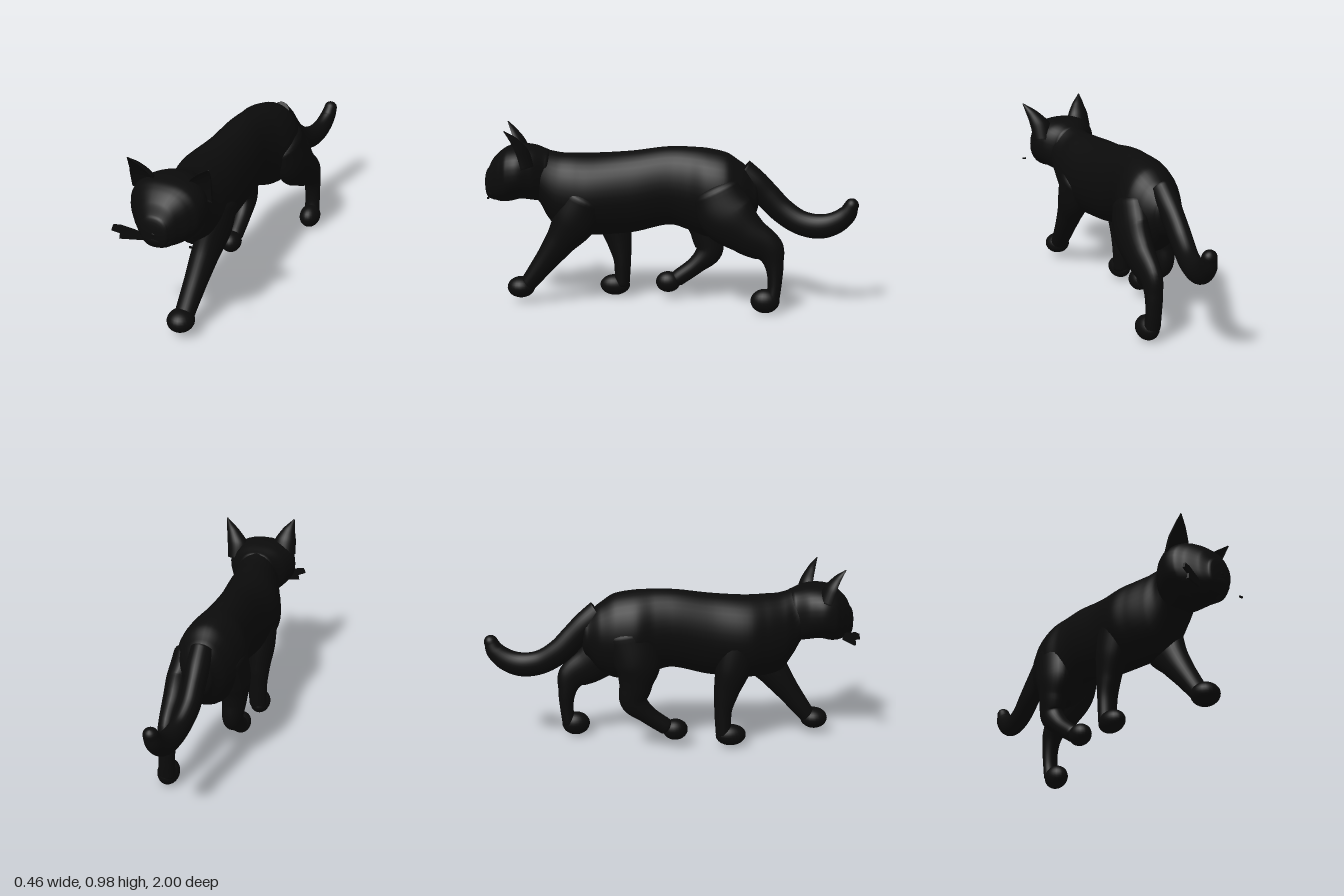
import * as THREE from 'three';

const fur = new THREE.MeshStandardMaterial({ color: 0x0b0b0b });
fur.name = 'black fur';

// Smooth skin through stations [x, y, z, halfWidth, halfDepth] with rounded ends.
// upright: keep sections vertical; square < 1 fattens corners; cup hollows the front face.
function loft(stations, { sides = 28, steps = 40, capA = 0, capB = 0, upright = false, square = 1, cup = false } = {}) {
  const path = new THREE.CatmullRomCurve3(stations.map(s => new THREE.Vector3(s[0], s[1], s[2])), false, 'centripetal');
  const radii = new THREE.CatmullRomCurve3(stations.map(s => new THREE.Vector3(s[3], s[4], 0)), false, 'catmullrom', 0.4);
  const X = new THREE.Vector3(1, 0, 0);
  const pos = [], idx = [];
  let rings = 0;
  const ring = (t, scale, shift) => {
    const T = path.getTangent(t);
    if (upright) T.set(0, 0, Math.sign(T.z));
    else T.setX(0).normalize();
    const U = new THREE.Vector3().crossVectors(T, X);
    const c = path.getPoint(t).addScaledVector(T, shift), r = radii.getPoint(t);
    const bend = v => Math.sign(v) * Math.abs(v) ** square;
    for (let j = 0; j < sides; j++) {
      const a = j / sides * Math.PI * 2;
      let u = bend(Math.sin(a));
      if (cup && u < 0) u *= -0.3;
      const p = c.clone().addScaledVector(X, bend(Math.cos(a)) * r.x * scale).addScaledVector(U, u * r.y * scale);
      pos.push(p.x, p.y, p.z);
    }
    rings++;
  };
  const caps = 6;
  for (let k = 0; k < caps; k++) {
    const a = k / caps * Math.PI / 2;
    ring(0, Math.sin(a), -capA * Math.cos(a));
  }
  for (let i = 0; i <= steps; i++) ring(i / steps, 1, 0);
  for (let k = caps - 1; k >= 0; k--) {
    const a = k / caps * Math.PI / 2;
    ring(1, Math.sin(a), capB * Math.cos(a));
  }
  for (let i = 0; i < rings - 1; i++) for (let j = 0; j < sides; j++) {
    const a = i * sides + j, b = i * sides + (j + 1) % sides;
    idx.push(a, b, a + sides, b, b + sides, a + sides);
  }
  const g = new THREE.BufferGeometry();
  g.setAttribute('position', new THREE.Float32BufferAttribute(pos, 3));
  g.setIndex(idx);
  g.computeVertexNormals();
  return g;
}

export function createModel() {
  const cat = new THREE.Group();
  cat.name = 'cat';
  const add = (name, geometry, parent = cat) => {
    const m = new THREE.Mesh(geometry, fur);
    m.name = name;
    parent.add(m);
    return m;
  };
  const ball = (name, p, r, parent = cat) => {
    const m = add(name, new THREE.SphereGeometry(1, 24, 16), parent);
    m.position.set(...p);
    m.scale.set(...r);
  };

  // Neck, chest, belly and hips
  add('body', loft([
    [0, .72, .76, .13, .14], [0, .71, .71, .13, .145], [0, .66, .66, .13, .185], [-.01, .615, .6, .145, .215],
    [-.02, .6, .5, .165, .225], [-.03, .6, .4, .175, .225], [-.02, .617, .2, .15, .223],
    [-.015, .652, 0, .135, .213], [-.005, .64, -.1, .145, .226], [.005, .62, -.2, .172, .24],
    [.02, .61, -.3, .165, .23], [.02, .605, -.38, .13, .185], [.02, .615, -.45, .075, .11],
  ], { steps: 80, sides: 36, capB: .03, upright: true }));

  // Tail
  add('tail', loft([
    [.02, .73, -.38, .06, .08], [.02, .68, -.45, .06, .072], [.02, .61, -.52, .055, .07], [.025, .53, -.6, .054, .068],
    [.045, .468, -.7, .052, .066], [.065, .452, -.8, .05, .066], [.08, .475, -.88, .048, .06],
    [.092, .525, -.94, .044, .05], [.1, .575, -.963, .038, .037],
  ], { steps: 60, capB: .037 }));

  // Legs: path stations plus paw centre and radii
  const legs = {
    frontLeftLeg: [[[.07, .58, .46, .09, .12], [.075, .47, .51, .08, .12], [.06, .34, .6, .068, .082],
      [.05, .22, .69, .058, .06], [.042, .11, .775, .052, .046]], [.04, .089, .815], [.07, .058, .075]],
    frontRightLeg: [[[-.11, .58, .36, .085, .12], [-.12, .44, .32, .075, .095], [-.115, .3, .285, .06, .066],
      [-.112, .2, .272, .054, .047], [-.115, .08, .275, .05, .042]], [-.12, .067, .315], [.056, .058, .083]],
    hindLeftLeg: [[[.125, .64, -.25, .08, .13], [.145, .52, -.31, .08, .15], [.155, .42, -.42, .068, .11],
      [.16, .345, -.53, .052, .082], [.16, .26, -.56, .046, .05], [.163, .16, -.565, .043, .037],
      [.165, .08, -.555, .045, .037]], [.17, .066, -.515], [.058, .065, .077]],
    hindRightLeg: [[[-.08, .64, -.22, .085, .14], [-.1, .48, -.19, .08, .125], [-.1, .37, -.2, .066, .09],
      [-.095, .275, -.21, .056, .075], [-.09, .195, -.14, .05, .05], [-.085, .12, -.04, .046, .045]],
      [-.082, .098, .015], [.055, .058, .068]],
  };
  for (const [name, [path, paw, r]] of Object.entries(legs)) {
    const leg = new THREE.Group();
    leg.name = name;
    add('limb', loft(path, { capA: .05, capB: .03 }), leg);
    ball('paw', paw, r, leg);
    cat.add(leg);
  }

  // Head with blunt muzzle
  const head = new THREE.Group();
  head.name = 'head';
  cat.add(head);
  add('skull', loft([
    [0, .705, .66, .115, .14], [-.002, .72, .73, .165, .148], [-.003, .727, .8, .192, .147], [-.003, .717, .86, .185, .15],
    [0, .705, .9, .155, .142], [.003, .685, .95, .108, .115], [.007, .663, .98, .075, .08],
  ], { steps: 50, sides: 36, capA: .04, capB: .018, upright: true, square: .85 }), head);
  ball('muzzle', [.01, .622, .945], [.085, .05, .053], head);
  ball('nose', [.01, .657, .985], [.02, .014, .015], head);
  for (const x of [-.073, .077]) ball('eye', [x, .725, .937], [.028, .025, .026], head);

  // Cupped ears
  const ears = {
    rightEar: [[-.125, .79, .83, .068, .06], [-.127, .86, .85, .063, .05], [-.14, .92, .876, .038, .03], [-.164, .976, .907, .004, .004]],
    leftEar: [[.14, .76, .77, .06, .06], [.145, .84, .79, .062, .055], [.178, .905, .815, .04, .034], [.226, .968, .85, .004, .004]],
  };
  for (const [name, path] of Object.entries(ears)) add(name, loft(path, { steps: 24, cup: true }), head);

  // Ragged whisker tufts
  const tuft = new THREE.Shape([[-.242, .615], [-.232, .643], [-.195, .643], [-.1, .615], [-.09, .575], [-.205, .573], [-.2, .602]]
    .map(p => new THREE.Vector2(...p)));
  const whiskers = add('rightWhiskers', new THREE.ExtrudeGeometry(tuft, { depth: .012, bevelEnabled: false }), head);
  whiskers.rotation.y = .29;
  whiskers.position.z = .9;
  const stray = add('leftWhisker', new THREE.BoxGeometry(.02, .008, .008), head);
  stray.position.set(.185, .61, .95);

  return cat;
}
